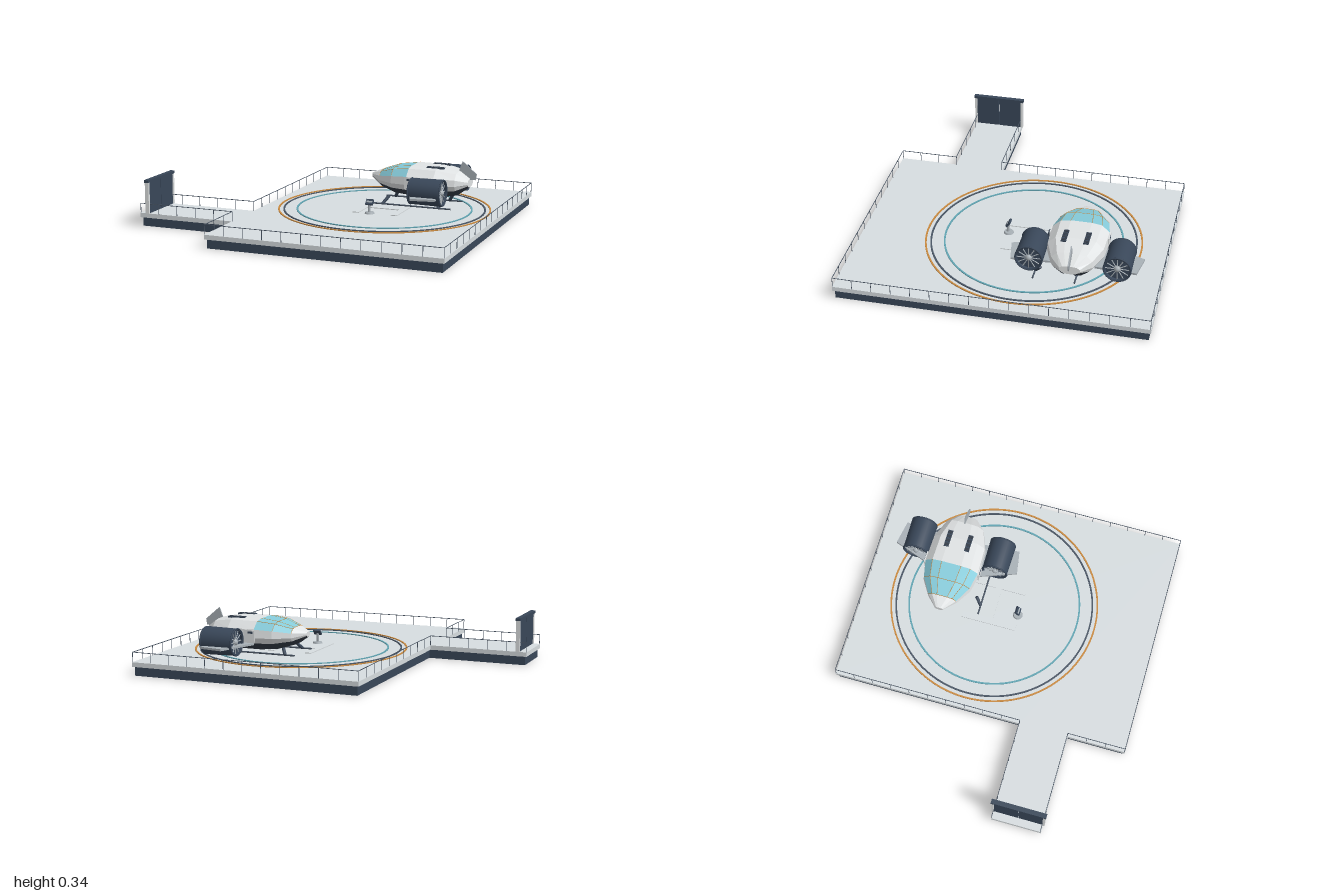
import * as THREE from 'three';

const mat = (name, color, extra = {}) => Object.assign(new THREE.MeshStandardMaterial({ color, ...extra }), { name });
const M = {
  deck: mat('deck grey', 0xd7dde0),
  hull: mat('hull light grey', 0xe0e3e4, { flatShading: true }),
  navy: mat('navy', 0x394759),
  belly: mat('belly charcoal', 0x343c47, { flatShading: true }),
  glass: mat('canopy glass', 0x86cbda, { flatShading: true }),
  orange: mat('orange', 0xc98a40),
  teal: mat('teal', 0x62a5b3),
  rail: mat('rail slate', 0x4a5665),
  fin: mat('fin grey', 0xa9b1b7),
};

function add(parent, name, geo, material, x = 0, y = 0, z = 0) {
  const m = new THREE.Mesh(geo, material);
  m.name = name;
  m.position.set(x, y, z);
  parent.add(m);
  return m;
}
const box = (p, name, m, w, h, d, x, y, z) => add(p, name, new THREE.BoxGeometry(w, h, d), m, x, y, z);
const lathe = (points, sides) => new THREE.LatheGeometry(points.map((q) => new THREE.Vector2(...q)), sides);

// round bar between two points
function bar(p, name, m, a, b, r, sides = 6) {
  const A = new THREE.Vector3(...a), d = new THREE.Vector3(...b).sub(A), len = d.length();
  const mesh = add(p, name, new THREE.CylinderGeometry(r, r, len, sides), m);
  mesh.position.copy(A).addScaledVector(d, 0.5);
  mesh.quaternion.setFromUnitVectors(new THREE.Vector3(0, 1, 0), d.normalize());
  return mesh;
}

// flat slab with an outline in x, z
function slab(points, y, h) {
  const shape = new THREE.Shape(points.map(([x, z]) => new THREE.Vector2(x, -z)));
  return new THREE.ExtrudeGeometry(shape, { depth: h, bevelEnabled: false }).rotateX(-Math.PI / 2).translate(0, y, 0);
}
const outline = (i) => [[-1 + i, 0.25 + i], [-0.4 + i, 0.25 + i], [-0.4 + i, -0.9 + i], [1 - i, -0.9 + i],
  [1 - i, 0.9 - i], [-0.4 + i, 0.9 - i], [-0.4 + i, 0.55 - i], [-1 + i, 0.55 - i]];

function buildPlatform(g) {
  add(g, 'platformBase', slab(outline(0.012), 0, 0.053), M.navy);
  add(g, 'deckSlab', slab(outline(0), 0.053, 0.027), M.deck);

  // railing around the edge, open at the end of the walkway
  const rails = new THREE.Group();
  rails.name = 'railing';
  g.add(rails);
  const path = outline(0.003);
  for (let i = 0; i < path.length - 1; i++) {
    const [ax, az] = path[i], [bx, bz] = path[i + 1];
    bar(rails, 'topRail', M.rail, [ax, 0.138, az], [bx, 0.138, bz], 0.0022, 5);
    const n = Math.max(1, Math.round(Math.hypot(bx - ax, bz - az) / 0.115));
    for (let k = i ? 1 : 0; k <= n; k++) {
      const x = ax + (bx - ax) * k / n, z = az + (bz - az) * k / n;
      bar(rails, 'railPost', M.rail, [x, 0.08, z], [x, 0.138, z], 0.0018, 5);
    }
  }

  // landing circles and pad marking
  for (const [name, r, m] of [['outerCircle', 0.633, M.orange], ['middleCircle', 0.602, M.rail], ['innerCircle', 0.523, M.teal]]) {
    const a = r - 0.005, b = r + 0.005;
    add(g, name, lathe([[b, 0], [b, 0.006], [b, 0.006], [a, 0.006], [a, 0.006], [a, 0]], 96), m, 0.3, 0.079, -0.105);
  }
  for (const x of [0.18, 0.42]) box(g, 'padMarkLeg', M.deck, 0.04, 0.006, 0.34, x, 0.082, -0.105);
  box(g, 'padMarkBar', M.deck, 0.2, 0.006, 0.04, 0.3, 0.082, -0.105);
}

function buildGate(g) {
  const gate = new THREE.Group();
  gate.name = 'gate';
  g.add(gate);
  for (const s of [-1, 1]) {
    box(gate, 'gatePost', M.hull, 0.024, 0.19, 0.014, -0.948, 0.175, 0.4 + s * 0.153);
    box(gate, 'gateDoor', M.navy, 0.014, 0.185, 0.143, -0.948, 0.1725, 0.4 + s * 0.0735);
  }
  box(gate, 'gateLintel', M.navy, 0.028, 0.016, 0.328, -0.948, 0.275, 0.4);
}

function buildConsole(g) {
  const c = new THREE.Group();
  c.name = 'console';
  c.position.set(0.265, 0.08, 0.055);
  g.add(c);
  add(c, 'consoleBase', new THREE.CylinderGeometry(0.026, 0.03, 0.01, 16), M.fin, 0, 0.005, 0);
  bar(c, 'consolePost', M.fin, [0, 0, 0.006], [0, 0.065, 0], 0.008, 8);
  const head = new THREE.Group();
  head.position.y = 0.068;
  head.rotation.x = 0.9;
  c.add(head);
  box(head, 'consolePanel', M.navy, 0.046, 0.012, 0.036, 0, 0, 0);
  box(head, 'consoleScreen', M.fin, 0.036, 0.002, 0.01, 0, 0.007, 0);
}

// fuselage stations: x, half width, top, bottom
const stations = [[0.12, 0.025, 0.236, 0.206], [0.19, 0.09, 0.262, 0.16], [0.285, 0.148, 0.293, 0.133],
  [0.39, 0.17, 0.306, 0.125], [0.56, 0.165, 0.306, 0.125], [0.68, 0.12, 0.285, 0.142], [0.745, 0.06, 0.24, 0.19]];
const half = [[0, 1], [0.36, 1], [0.7, 0.95], [0.97, 0.72], [1, 0.45], [0.85, 0.25], [0.45, 0], [0, 0]];
const section = [...half, ...half.slice(1, -1).reverse().map(([a, b]) => [-a, b])];
const N = section.length;
function hullPoint(i, j) {
  const [x, w, top, bottom] = stations[i], [a, t] = section[(j + N) % N];
  return [x, bottom + t * (top - bottom), a * w];
}

function faces(list) {
  const geo = new THREE.BufferGeometry();
  geo.setAttribute('position', new THREE.Float32BufferAttribute(list.flat(), 3));
  geo.computeVertexNormals();
  return geo;
}

function buildFuselage(g) {
  const skin = { hull: [], glass: [], belly: [] };
  for (let i = 0; i < stations.length - 1; i++) {
    for (let j = 0; j < N; j++) {
      const band = j < 7 ? j : N - 1 - j;
      const key = band >= 5 ? 'belly' : band < 3 && (i === 1 || i === 2) ? 'glass' : 'hull';
      const [a, b, c, d] = [hullPoint(i, j), hullPoint(i, j + 1), hullPoint(i + 1, j + 1), hullPoint(i + 1, j)];
      skin[key].push(a, b, c, a, c, d);
    }
  }
  const last = stations.length - 1;
  for (let j = 1; j < N - 1; j++) {
    skin.hull.push(hullPoint(0, 0), hullPoint(0, j + 1), hullPoint(0, j));
    skin.hull.push(hullPoint(last, 0), hullPoint(last, j), hullPoint(last, j + 1));
  }
  add(g, 'fuselage', faces(skin.hull), M.hull);
  add(g, 'canopy', faces(skin.glass), M.glass);
  add(g, 'belly', faces(skin.belly), M.belly);

  // canopy frame
  for (let i = 1; i <= 2; i++) {
    for (let j = -3; j <= 3; j++) {
      if (j < 3) bar(g, 'canopyRib', M.orange, hullPoint(i, j), hullPoint(i, j + 1), 0.0016, 5);
      if (j && Math.abs(j) < 3) bar(g, 'canopyFrame', M.orange, hullPoint(i, j), hullPoint(i + 1, j), 0.0016, 5);
    }
  }

  // roof vents with slats, side doors
  for (const s of [-1, 1]) {
    box(g, 'roofVent', M.navy, 0.11, 0.009, 0.03, 0.545, 0.304, s * 0.064);
    for (let k = 0; k < 4; k++) box(g, 'ventSlat', M.belly, 0.016, 0.003, 0.026, 0.505 + k * 0.027, 0.309, s * 0.064);
    box(g, 'sideDoor', M.hull, 0.07, 0.075, 0.006, 0.415, 0.215, s * 0.169);
    box(g, 'doorWindow', M.navy, 0.03, 0.012, 0.006, 0.41, 0.238, s * 0.171);
  }

  // tail fin
  const fin = new THREE.Shape([[0.64, 0.25], [0.662, 0.258], [0.695, 0.345], [0.785, 0.27], [0.778, 0.234], [0.7, 0.23]]
    .map((p) => new THREE.Vector2(...p)));
  add(g, 'tailFin', new THREE.ExtrudeGeometry(fin, { depth: 0.007, bevelEnabled: false }), M.fin, 0, 0, -0.0035);
}

function buildFan(g, s) {
  // swept wing through the duct
  const wing = [[0.4, 0.14], [0.49, 0.385], [0.635, 0.36], [0.62, 0.12]].map(([x, z]) => [x, z * s]);
  add(g, 'wing', slab(wing, 0.16, 0.012), M.fin);

  const fan = new THREE.Group();
  fan.name = 'ductedFan';
  fan.position.set(0.553, 0.192, s * 0.252);
  g.add(fan);
  const profile = [[0.069, -0.098], [0.078, -0.1], [0.081, 0.09], [0.077, 0.1], [0.069, 0.098], [0.069, -0.098]];
  add(fan, 'duct', lathe(profile, 28).rotateZ(-Math.PI / 2), M.navy);
  for (const e of [-1, 1]) {
    add(fan, 'ductLip', new THREE.TorusGeometry(0.077, 0.005, 6, 28).rotateY(Math.PI / 2), M.navy, e * 0.098, 0, 0);
    for (let k = 0; k < 12; k++) {
      const spoke = new THREE.Group();
      spoke.rotation.x = k * Math.PI / 6;
      fan.add(spoke);
      const blade = box(spoke, 'fanBlade', M.fin, 0.004, 0.054, 0.005, e * 0.09, 0.044, 0);
      blade.rotation.y = 0.5;
    }
    add(fan, 'fanHub', new THREE.SphereGeometry(0.02, 14, 8), M.fin, e * 0.085, 0, 0);
  }
  add(fan, 'fanCore', new THREE.CylinderGeometry(0.069, 0.069, 0.17, 28).rotateZ(Math.PI / 2), M.navy);
}

function buildGear(g) {
  for (const s of [-1, 1]) {
    const z = -0.3 + s * 0.12;
    bar(g, 'skid', M.rail, [0.2, 0.091, z], [0.69, 0.091, z], 0.005, 8);
    for (const x of [0.27, 0.62]) {
      bar(g, 'gearStrut', M.navy, [x + 0.02, 0.135, z - s * 0.035], [x - 0.01, 0.091, z], 0.01, 8);
    }
  }
}

export function createModel() {
  const model = new THREE.Group();
  model.name = 'landingPad';
  buildPlatform(model);
  buildGate(model);
  buildConsole(model);
  const craft = new THREE.Group();
  craft.name = 'aircraft';
  craft.position.z = -0.4;
  model.add(craft);
  buildFuselage(craft);
  for (const s of [-1, 1]) buildFan(craft, s);
  buildGear(model);
  return model;
}
